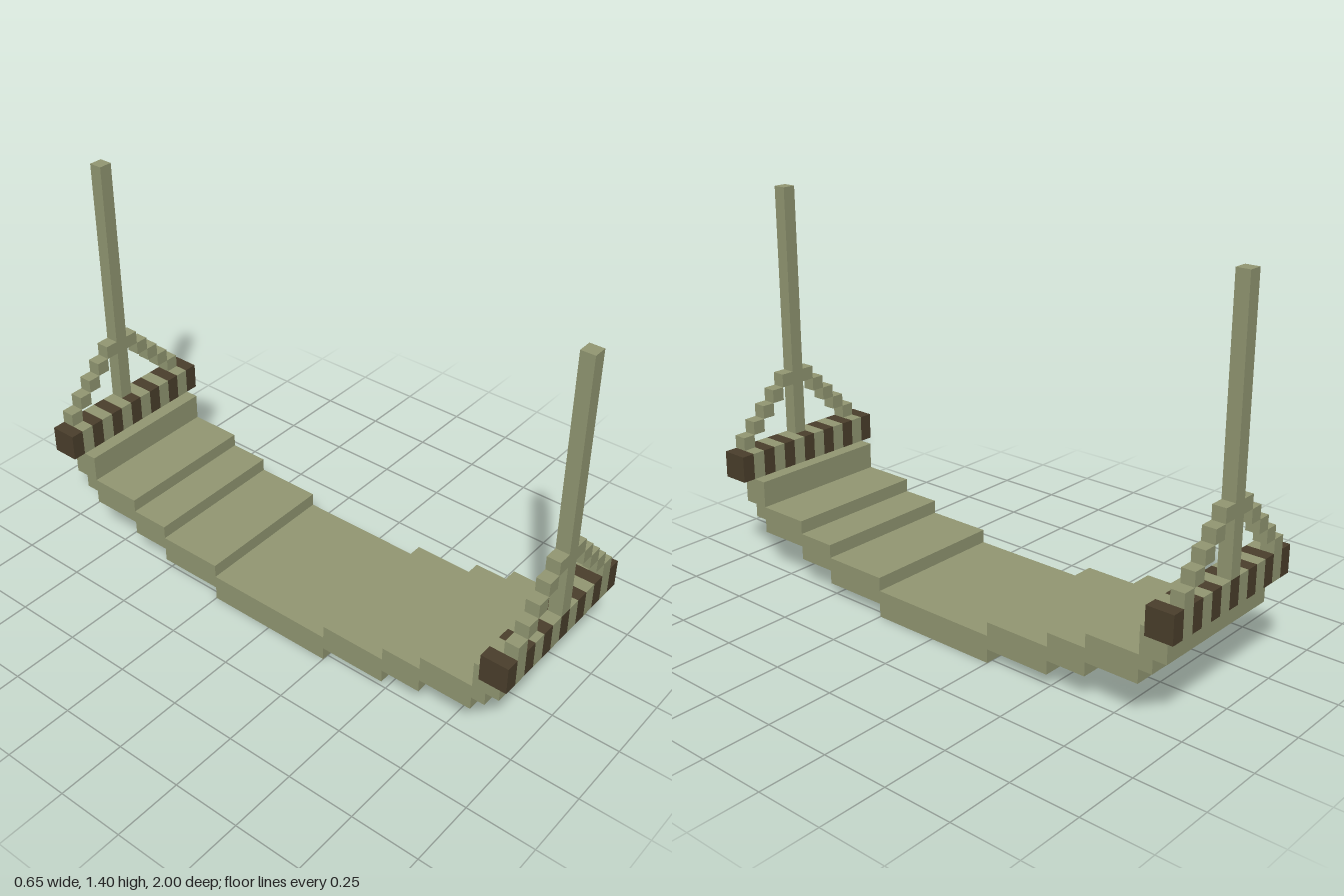
import * as THREE from 'three';

const U = 0.05; // one block

export function createModel() {
  const model = new THREE.Group();
  model.name = 'hammock';
  const canvas = new THREE.MeshStandardMaterial({ color: 0x939873 });
  canvas.name = 'olive canvas';
  const wood = new THREE.MeshStandardMaterial({ color: 0x4b3f2c });
  wood.name = 'dark wood';

  const box = (parent, name, mat, w, h, d, x, y, z) => {
    const mesh = new THREE.Mesh(new THREE.BoxGeometry(w, h, d), mat);
    mesh.position.set(x, y, z);
    mesh.name = name;
    parent.add(mesh);
  };

  // Sagging cloth: stepped profile as [z, y], one half, mirrored and extruded across x
  const under = [[0.25, 0], [0.25, 0.05], [0.5, 0.05], [0.5, 0.1], [0.65, 0.1], [0.65, 0.15],
    [0.85, 0.15], [0.85, 0.2], [0.9, 0.2], [0.9, 0.25], [0.95, 0.25], [0.95, 0.35]];
  const over = [[0.85, 0.35], [0.85, 0.25], [0.65, 0.25], [0.65, 0.2], [0.5, 0.2], [0.5, 0.15],
    [0.25, 0.15], [0.25, 0.1]];
  const half = [...under, ...over];
  const mirrored = half.map(([z, y]) => [-z, y]).reverse();
  const profile = new THREE.Shape([...half, ...mirrored].map(([z, y]) => new THREE.Vector2(z, y)));
  const clothGeo = new THREE.ExtrudeGeometry(profile, { depth: 11 * U, bevelEnabled: false });
  clothGeo.translate(0, 0, -5.5 * U).rotateY(-Math.PI / 2);
  const cloth = new THREE.Mesh(clothGeo, canvas);
  cloth.name = 'cloth';
  model.add(cloth);

  for (const side of [1, -1]) {
    const end = new THREE.Group();
    end.name = side > 0 ? 'frontEnd' : 'backEnd';
    model.add(end);

    // Spreader bar: alternating wood and cloth loops
    for (let i = -6; i <= 6; i++) {
      const dark = i % 2 === 0;
      box(end, dark ? 'spreaderBar' : 'clothLoop', dark ? wood : canvas,
        U, 2 * U, 2 * U, i * U, 0.4, side * 0.95);
    }

    // Hanging rope and the stepped ropes that spread to the bar ends
    const z = side * 0.975;
    box(end, 'hangingRope', canvas, U, 0.95, U, 0, 0.925, z);
    for (let i = 1; i <= 5; i++) {
      for (const s of [1, -1]) {
        box(end, 'spreadRope', canvas, U, U, U, s * i * U, 0.725 - i * U, z);
      }
    }
  }
  return model;
}
